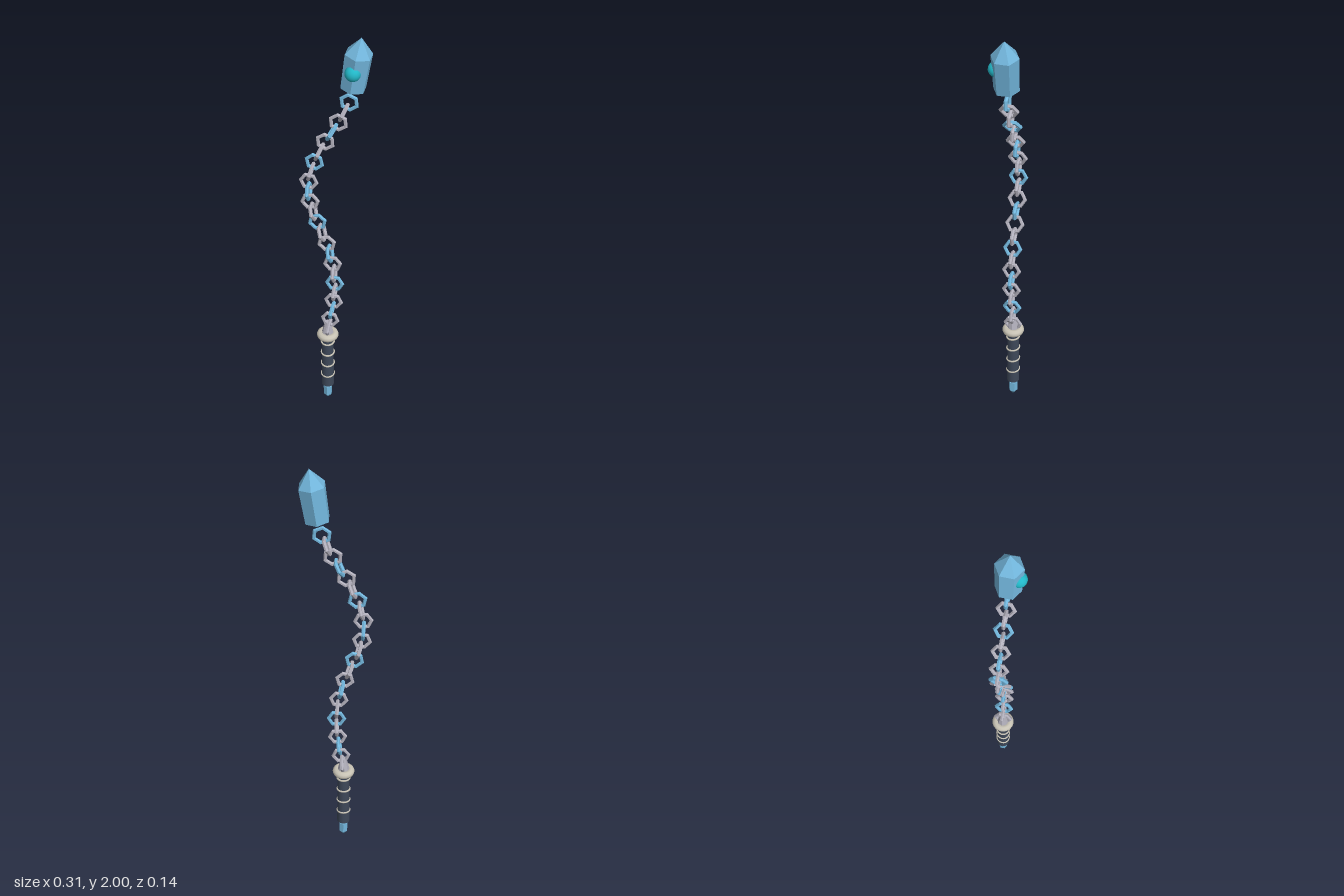
import * as THREE from 'three';

export function createModel() {
  const model = new THREE.Group();
  const Z = -0.01;       // depth of the weapon's axis
  const GRIP_X = -0.028; // sideways position of the grip

  const mat = (name, color, flatShading = false) => {
    const m = new THREE.MeshStandardMaterial({ color, flatShading });
    m.name = name;
    return m;
  };
  const blue = mat('crystalBlue', 0x72b6dc, true);
  const silver = mat('silver', 0xb2b0bc, true);
  const teal = mat('teal', 0x22b8c8);
  const navy = mat('darkNavy', 0x3e4859);
  const bone = mat('bone', 0xc9c4b6);

  const add = (parent, name, geometry, material, x = 0, y = 0, z = 0) => {
    const mesh = new THREE.Mesh(geometry, material);
    mesh.name = name;
    mesh.position.set(x, y, z);
    parent.add(mesh);
    return mesh;
  };

  // Six-sided crystal pointing up from its base
  const crystal = (name, rBase, rTop, bodyH, tipH) => {
    const g = new THREE.Group();
    g.name = name;
    const profile = [[0, 0], [rBase, 0], [rTop, bodyH], [0, bodyH + tipH]];
    add(g, name + 'Body', new THREE.LatheGeometry(
      profile.map(([r, y]) => new THREE.Vector2(r, y)), 6), blue);
    model.add(g);
    return g;
  };

  // Head crystal, leaning with the end of the chain, and its orb
  const head = crystal('headCrystal', 0.056, 0.061, 0.163, 0.078);
  head.position.set(0.083, 1.761, Z);
  head.rotation.z = -0.137;
  add(model, 'orb', new THREE.SphereGeometry(0.034, 16, 12), teal, 0.09, 1.853, 0.032);

  // Chain: links strung along a curve, alternately turned, every third one blue
  const curve = new THREE.CatmullRomCurve3([
    [0.066, 1.688], [0.02, 1.582], [-0.037, 1.476], [-0.085, 1.365], [-0.111, 1.259],
    [-0.106, 1.153], [-0.074, 1.047], [-0.032, 0.935], [-0.005, 0.824], [0.005, 0.713],
    [0, 0.607], [-0.016, 0.495], [-0.028, 0.39],
  ].map(([x, y]) => new THREE.Vector3(x, y, Z)));
  const linkGeometry = new THREE.TorusGeometry(0.036, 0.009, 6, 6);
  const chain = new THREE.Group();
  chain.name = 'chain';
  model.add(chain);
  for (let i = 0; i < 24; i++) {
    const p = curve.getPoint(i / 24);
    const t = curve.getTangent(i / 24);
    const link = add(chain, 'chainLink', linkGeometry, i % 3 ? silver : blue, p.x, p.y, p.z);
    link.rotation.order = 'ZYX';
    link.rotation.z = Math.atan2(t.x, -t.y);
    link.rotation.y = i % 2 ? Math.PI / 2 : 0;
  }

  // Socket and collar where the chain meets the grip
  add(model, 'chainSocket', new THREE.CylinderGeometry(0.013, 0.028, 0.065, 8), silver, GRIP_X, 0.445, Z);
  const collar = add(model, 'collar', new THREE.TorusGeometry(0.033, 0.018, 10, 24), bone, GRIP_X, 0.4, Z);
  collar.rotation.x = Math.PI / 2;

  // Grip with thin, slightly slanted bands
  add(model, 'grip', new THREE.CylinderGeometry(0.027, 0.03, 0.32, 12), navy, GRIP_X, 0.252, Z);
  for (let i = 0; i < 4; i++) {
    const band = add(model, 'gripBand', new THREE.TorusGeometry(0.0295, 0.0045, 6, 20), bone,
      GRIP_X, 0.157 + i * 0.067, Z);
    band.rotation.x = Math.PI / 2 + 0.12;
  }

  // Small crystal pointing down below the grip
  const pommel = crystal('pommelCrystal', 0.021, 0.021, 0.05, 0.027);
  pommel.position.set(GRIP_X, 0.077, Z);
  pommel.rotation.x = Math.PI;

  return model;
}
